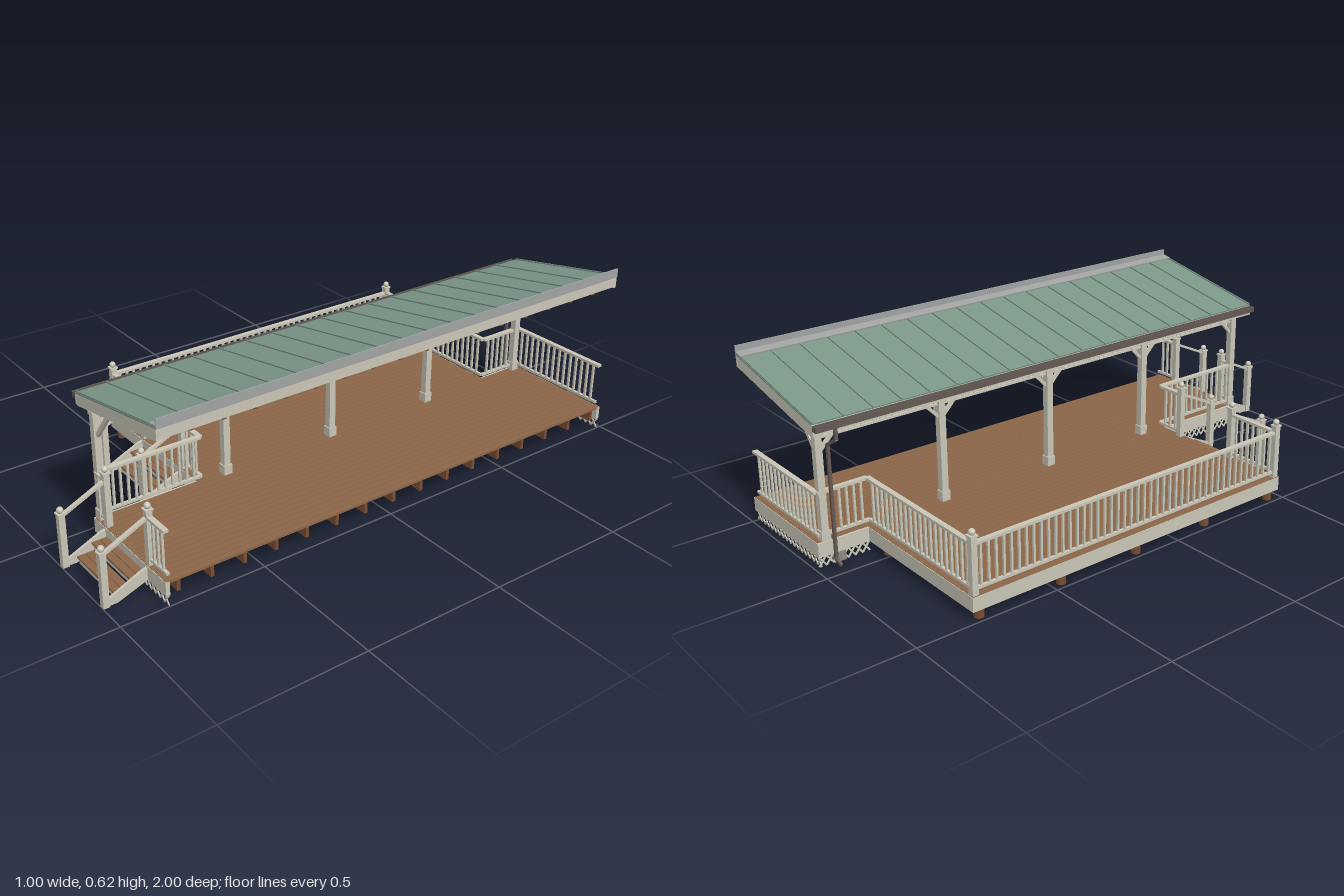
import * as THREE from 'three';

const mat = (name, color) => Object.assign(new THREE.MeshStandardMaterial({ color }), { name });

export function createModel() {
  const cream = mat('cream paint', 0xcac7b8);
  const wood = mat('deck wood', 0x8c6648);
  const timber = mat('framing timber', 0x7a4e32);
  const green = mat('green metal roof', 0x7b9688);
  const flashing = mat('grey flashing', 0xa2a3a3);
  const gutterMat = mat('gutter brown', 0x645a54);
  const concrete = mat('concrete', 0x8c8984);
  const sheathing = mat('roof sheathing', 0x75684c);

  const model = new THREE.Group();
  model.name = 'coveredDeck';
  const part = (name, parent = model) => {
    const g = new THREE.Group();
    g.name = name;
    parent.add(g);
    return g;
  };
  // Axis-aligned box given by its limits
  const box = (parent, name, m, x0, x1, y0, y1, z0, z1) => {
    const mesh = new THREE.Mesh(new THREE.BoxGeometry(x1 - x0, y1 - y0, z1 - z0), m);
    mesh.position.set((x0 + x1) / 2, (y0 + y1) / 2, (z0 + z1) / 2);
    mesh.name = name;
    parent.add(mesh);
    return mesh;
  };
  // Upright square block centred on x, z
  const block = (parent, name, m, x, z, w, y0, y1) =>
    box(parent, name, m, x - w / 2, x + w / 2, y0, y1, z - w / 2, z + w / 2);
  // Rectangular bar running between two points
  const bar = (parent, name, m, a, b, w, h = w) => {
    const p = new THREE.Vector3(...a), q = new THREE.Vector3(...b);
    const mesh = new THREE.Mesh(new THREE.BoxGeometry(w, h, p.distanceTo(q)), m);
    mesh.position.copy(p).add(q).multiplyScalar(0.5);
    mesh.lookAt(q);
    mesh.name = name;
    parent.add(mesh);
    return mesh;
  };

  const X0 = -0.5, XJ = 0.07, X1 = 0.5;        // outer edge, jog, open edge
  const ZA0 = -0.805, ZA1 = 0.472;             // narrow part of the deck
  const ZB0 = -0.985, ZB1 = 0.845;             // long part under the roof
  const FLOOR = 0.086;

  // Deck boards run along z
  const boards = part('deckBoards');
  const count = 40, pitch = (X1 - X0) / count;
  for (let i = 0; i < count; i++) {
    const x = X0 + i * pitch, long = x + pitch / 2 > XJ;
    box(boards, 'deckBoard', wood, x + 0.001, x + pitch - 0.001, 0.078, FLOOR,
      long ? ZB0 : ZA0, long ? ZB1 : ZA1);
  }

  // Joists run along x, their ends show on the open side
  const joists = part('joists');
  for (let i = 0; i < 16; i++) {
    const z = ZB0 + 0.04 + i * 0.1165;
    const left = z > ZA0 && z < ZA1 ? X0 + 0.01 : XJ;
    box(joists, 'joist', timber, left, X1 - 0.002, 0.04, 0.078, z - 0.006, z + 0.006);
  }

  // Painted rim boards
  const rim = part('rimBoards'), T = 0.012;
  const rimBox = (x0, x1, z0, z1) => box(rim, 'rimBoard', cream, x0, x1, 0.037, 0.085, z0, z1);
  rimBox(X0, X0 + T, ZA0, ZA1);
  rimBox(X0, XJ, ZA1 - T, ZA1 + 0.002);
  rimBox(X0, XJ, ZA0 - 0.002, ZA0 + T);
  rimBox(XJ - 0.002, XJ + T, ZA1, ZB1);
  rimBox(XJ - 0.002, XJ + T, ZB0, ZA0);
  rimBox(XJ, X1, ZB1 - T, ZB1 + 0.002);
  rimBox(XJ, X1, ZB0 - 0.002, ZB0 + T);

  // Timber legs and concrete piers
  const supports = part('supports');
  for (let i = 0; i < 5; i++) {
    for (const x of [-0.473, 0.02]) {
      const leg = new THREE.Mesh(new THREE.CylinderGeometry(0.016, 0.016, 0.042, 12), timber);
      leg.position.set(x, 0.021, 0.448 - i * 0.304);
      leg.name = 'leg';
      supports.add(leg);
    }
  }
  for (let i = 0; i < 6; i++)
    for (const x of [0.092, 0.3]) block(supports, 'pier', concrete, x, 0.55 - i * 0.292, 0.04, 0, 0.042);

  // Lattice skirt between two ground points
  const lattice = part('latticeSkirt');
  const skirt = (ax, az, bx, bz) => {
    const n = Math.max(2, Math.round(Math.hypot(bx - ax, bz - az) / 0.025));
    const at = (t, y) => [ax + (bx - ax) * t, y, az + (bz - az) * t];
    for (let i = 0; i < n; i++) {
      bar(lattice, 'slat', cream, at(i / n, 0.003), at((i + 1) / n, 0.037), 0.003, 0.006);
      bar(lattice, 'slat', cream, at(i / n, 0.037), at((i + 1) / n, 0.003), 0.003, 0.006);
    }
  };
  skirt(XJ, ZB1 - 0.006, X1, ZB1 - 0.006);
  skirt(XJ, ZB0 + 0.006, X1, ZB0 + 0.006);
  skirt(XJ + 0.004, ZA1, XJ + 0.004, ZB1);
  skirt(XJ + 0.004, ZB0, XJ + 0.004, ZA0);

  // Newel post with cap and ball
  const newels = part('newelPosts');
  const newel = (x, z, y0, y1) => {
    block(newels, 'newel', cream, x, z, 0.021, y0, y1);
    block(newels, 'newelCap', cream, x, z, 0.027, y1, y1 + 0.006);
    const ball = new THREE.Mesh(new THREE.SphereGeometry(0.011, 14, 10), cream);
    ball.position.set(x, y1 + 0.015, z);
    ball.name = 'newelBall';
    newels.add(ball);
  };
  const xL = -0.486, zF = 0.46, zR = -0.793, xJ = 0.082, zFF = 0.832, zRR = -0.972;
  const stairs = [{ x0: -0.28, x1: -0.026, z: ZA1, post: zF }, { x0: 0.138, x1: 0.391, z: ZB1, post: zFF }];
  newel(xL, zF, FLOOR, 0.272);
  newel(xL, zR, FLOOR, 0.272);

  // Railings with balusters
  const railings = part('railings');
  const railing = (ax, az, bx, bz) => {
    const len = Math.hypot(bx - ax, bz - az), n = Math.max(2, Math.round(len / 0.027));
    bar(railings, 'topRail', cream, [ax, 0.25, az], [bx, 0.25, bz], 0.018, 0.009);
    bar(railings, 'bottomRail', cream, [ax, 0.105, az], [bx, 0.105, bz], 0.011, 0.009);
    for (let i = 1; i < n; i++) {
      const t = i / n;
      block(railings, 'baluster', cream, ax + (bx - ax) * t, az + (bz - az) * t, 0.0075, 0.105, 0.248);
    }
  };
  railing(xL, zR, xL, zF);
  railing(xL, zR, xJ, zR);
  railing(xJ, zR, xJ, zRR);
  railing(xJ, zRR, 0.492, zRR);
  railing(xL, zF, stairs[0].x0, zF);
  railing(stairs[0].x1, zF, xJ, zF);
  railing(xJ, zF, xJ, zFF);
  railing(xJ, zFF, stairs[1].x0, zFF);
  railing(stairs[1].x1, zFF, 0.492, zFF);

  // Two flights of steps with handrails
  for (const s of stairs) {
    const g = part('steps');
    for (let i = 0; i < 2; i++) {
      const y = 0.057 - i * 0.03, z = s.z + i * 0.052;
      for (let k = 0; k < 2; k++)
        box(g, 'tread', wood, s.x0 + 0.011, s.x1 - 0.011, y - 0.007, y, z + k * 0.028 + 0.001, z + k * 0.028 + 0.027);
      box(g, 'riser', cream, s.x0 + 0.011, s.x1 - 0.011, y - 0.028, y - 0.007, z + 0.044, z + 0.049);
    }
    for (const x of [s.x0, s.x1]) {
      // Sloped stringer outline in z, y
      const shape = new THREE.Shape([[0, 0.038], [0, 0.08], [0.02, 0.074], [0.145, 0.018], [0.145, 0], [0.105, 0]]
        .map(([z, y]) => new THREE.Vector2(-z, y)));
      const stringer = new THREE.Mesh(new THREE.ExtrudeGeometry(shape, { depth: 0.01, bevelEnabled: false }), cream);
      stringer.rotation.y = Math.PI / 2;
      stringer.position.set(x - 0.005, 0, s.z);
      stringer.name = 'stringer';
      g.add(stringer);
      newel(x, s.post, FLOOR, 0.272);
      newel(x, s.z + 0.144, 0, 0.186);
      bar(g, 'handrail', cream, [x, 0.25, s.post], [x, 0.178, s.z + 0.144], 0.014, 0.009);
    }
  }

  // Roof posts with bases, capitals and braces
  const px = 0.085, postZ = [0.825, 0.365, -0.07, -0.51, -0.955];
  const posts = part('roofPosts');
  postZ.forEach((z, i) => {
    block(posts, 'post', cream, px, z, 0.024, FLOOR, 0.475);
    block(posts, 'postBase', cream, px, z, 0.031, FLOOR, 0.12);
    block(posts, 'capital', cream, px, z, 0.03, 0.45, 0.462);
    block(posts, 'capitalTop', cream, px, z, 0.026, 0.462, 0.472);
    bar(posts, 'rafterBrace', cream, [px + 0.012, 0.383, z], [0.177, 0.482, z], 0.011, 0.013);
    for (const d of [-1, 1]) {
      if ((i === 0 && d > 0) || (i === 4 && d < 0)) continue;
      bar(posts, 'beamBrace', cream, [px, 0.385, z + d * 0.01], [px, 0.468, z + d * 0.09], 0.011, 0.011);
    }
  });
  box(posts, 'roofBeam', cream, px - 0.012, px + 0.012, 0.472, 0.495, -0.985, 0.838);

  // Spindle frieze under the beam
  const frieze = part('frieze');
  for (const y of [0.427, 0.468])
    bar(frieze, 'friezeRail', cream, [px, y, postZ[4]], [px, y, postZ[0]], 0.009, 0.007);
  for (let i = 1; i < 80; i++)
    block(frieze, 'spindle', cream, px, postZ[4] + (postZ[0] - postZ[4]) * i / 80, 0.005, 0.427, 0.468);

  // Sloped roof
  const roof = part('roof'), R0 = -1, R1 = 0.85, RC = (R0 + R1) / 2;
  const slopeY = (x) => 0.504 + 0.188 * (x - 0.03);
  const sloped = (name, m, x0, x1, off, z, w, h) =>
    bar(roof, name, m, [x0, slopeY(x0) + off, z], [x1, slopeY(x1) + off, z], w, h);
  sloped('metalSheet', green, 0.02, 0.497, 0, RC, R1 - R0, 0.005);
  sloped('sheathing', sheathing, 0.022, 0.497, -0.006, RC, R1 - R0 - 0.006, 0.006);
  for (let i = 0; i <= 18; i++)
    sloped('seam', green, 0.02, 0.465, 0.004, R0 + 0.004 + (R1 - R0 - 0.008) * i / 18, 0.005, 0.006);
  for (let i = 1; i <= 16; i++)
    sloped('rafter', timber, 0.025, 0.495, -0.026, R0 + 0.006 + (R1 - R0 - 0.012) * i / 17, 0.012, 0.034);
  for (const z of [R0 + 0.006, R1 - 0.006])
    sloped('endFascia', cream, 0.022, 0.495, -0.022, z, 0.011, 0.04);
  box(roof, 'lowFascia', cream, 0.016, 0.025, 0.465, 0.5, R0, R1);
  box(roof, 'ledger', cream, 0.487, 0.498, 0.553, 0.59, R0, R1);
  sloped('flashing', flashing, 0.462, 0.498, 0.006, RC, R1 - R0, 0.005);
  box(roof, 'flashingUpstand', flashing, 0.496, 0.5, 0.588, 0.62, R0, R1);

  // Open gutter along the low edge
  const gutter = part('gutter');
  box(gutter, 'gutterFloor', gutterMat, -0.003, 0.017, 0.481, 0.484, R0, R1);
  for (const x of [-0.004, 0.014]) box(gutter, 'gutterWall', gutterMat, x, x + 0.003, 0.481, 0.5, R0, R1);
  for (const z of [R0, R1 - 0.003]) box(gutter, 'gutterEnd', gutterMat, -0.003, 0.016, 0.481, 0.499, z, z + 0.003);

  // Downspout at the back corner
  const path = [[0.007, 0.483], [0.007, 0.441], [0.064, 0.405], [0.064, 0.02], [0.034, 0.007]];
  for (let i = 0; i < path.length - 1; i++)
    bar(gutter, 'downspout', gutterMat, [...path[i], -0.93], [...path[i + 1], -0.93], 0.01);

  return model;
}
